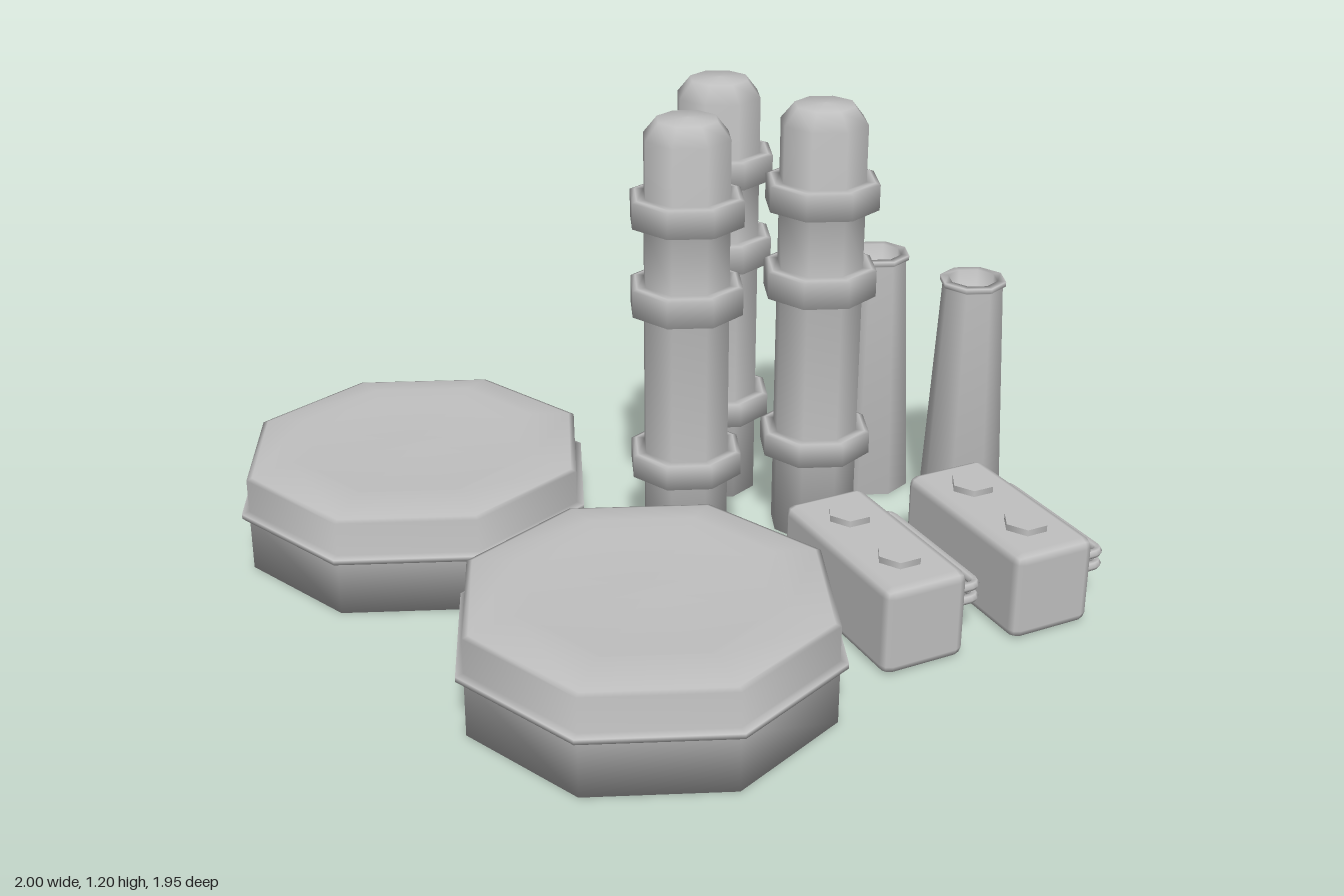
import * as THREE from 'three';
import { RoundedBoxGeometry } from 'three/addons/geometries/RoundedBoxGeometry.js';

const concrete = new THREE.MeshStandardMaterial({ color: 0xc0c0c0 });
concrete.name = 'grey concrete';

function add(parent, name, geometry, x = 0, y = 0, z = 0) {
  const mesh = new THREE.Mesh(geometry, concrete);
  mesh.name = name;
  mesh.position.set(x, y, z);
  parent.add(mesh);
  return mesh;
}

// Eight-sided turned shape from [radius, height] pairs, bottom to top
const turned = (profile) =>
  new THREE.LatheGeometry(profile.map(([r, y]) => new THREE.Vector2(r, y)), 8);

// Wide storage tank: flange round the wall, raised lip and shallow sunken roof
const tankGeometry = turned([
  [0, 0], [0.465, 0], [0.465, 0.15], [0.485, 0.15], [0.485, 0.163], [0.465, 0.167],
  [0.465, 0.257], [0.45, 0.262], [0.34, 0.284], [0.3, 0.262], [0, 0.268],
]);

// Tall column with three collars and a bevelled cap
function towerProfile() {
  const r = 0.116, collar = 0.153;
  const points = [[0, 0], [r, 0]];
  for (const [low, high] of [[0.235, 0.298], [0.69, 0.765], [0.928, 1.0]]) {
    points.push([r, low], [collar, low], [collar, high - 0.004], [0.14, high], [r, high]);
  }
  points.push([r, 1.15], [0.08, 1.195], [0, 1.2]);
  return points;
}
const towerGeometry = turned(towerProfile());

// Tapered chimney with a lip and a hollow mouth
const chimneyGeometry = turned([
  [0, 0], [0.115, 0], [0.081, 0.68], [0.089, 0.685], [0.089, 0.698],
  [0.066, 0.698], [0.062, 0.63], [0, 0.63],
]);

// U-shaped pipe leaving the side of a machine box
function pipeGeometry() {
  const v = (x, z) => new THREE.Vector3(x, 0, z);
  const reach = 0.178, half = 0.202, bend = 0.025;
  const path = new THREE.CurvePath();
  path.add(new THREE.LineCurve3(v(0.1, -half), v(reach - bend, -half)));
  path.add(new THREE.QuadraticBezierCurve3(v(reach - bend, -half), v(reach, -half), v(reach, bend - half)));
  path.add(new THREE.LineCurve3(v(reach, bend - half), v(reach, half - bend)));
  path.add(new THREE.QuadraticBezierCurve3(v(reach, half - bend), v(reach, half), v(reach - bend, half)));
  path.add(new THREE.LineCurve3(v(reach - bend, half), v(0.1, half)));
  return new THREE.TubeGeometry(path, 48, 0.012, 6);
}

// Machine box with two hexagonal caps and two side pipes
function machineBox(x, z) {
  const group = new THREE.Group();
  group.name = 'machineBox';
  group.position.set(x, 0, z);
  add(group, 'housing', new RoundedBoxGeometry(0.23, 0.236, 0.505, 1, 0.025), 0, 0.118, 0);
  for (const side of [-1, 1]) {
    const cap = add(group, 'hexCap', new THREE.CylinderGeometry(0.058, 0.058, 0.05, 6), 0, 0.228, side * 0.117);
    cap.rotation.y = Math.PI / 6;
  }
  const pipe = pipeGeometry();
  for (const y of [0.125, 0.16]) add(group, 'sidePipe', pipe, 0, y, 0);
  return group;
}

export function createModel() {
  const model = new THREE.Group();
  model.name = 'industrialPlant';

  for (const [x, z] of [[-0.515, -0.49], [-0.285, 0.485]]) add(model, 'storageTank', tankGeometry, x, 0, z);
  for (const [x, z] of [[0.108, -0.106], [0.352, -0.404], [0.48, -0.067]]) add(model, 'tower', towerGeometry, x, 0, z);
  for (const [x, z] of [[0.757, -0.222], [0.88, 0.06]]) add(model, 'chimney', chimneyGeometry, x, 0, z);
  for (const x of [0.352, 0.725]) model.add(machineBox(x, 0.453));

  return model;
}
